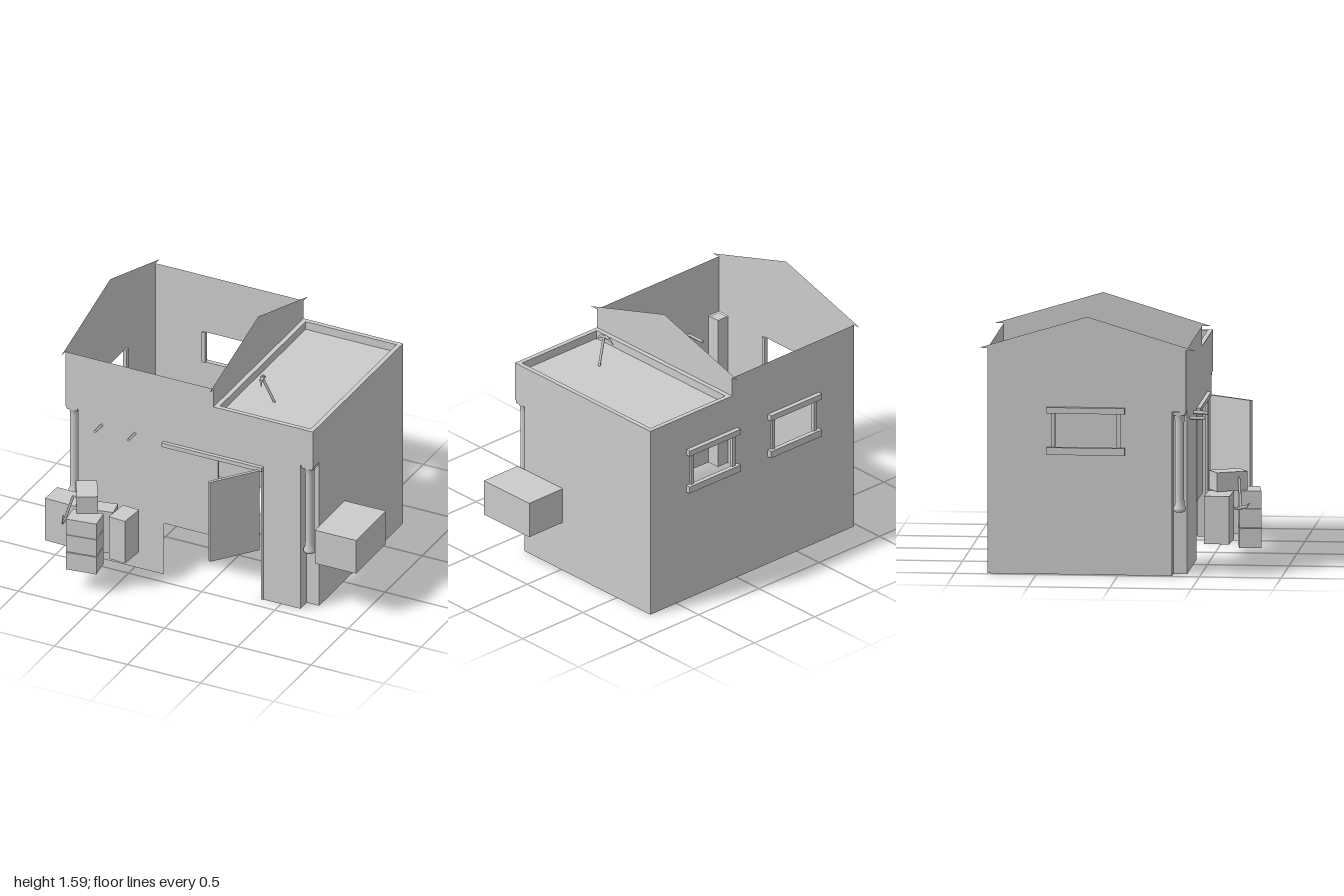
import * as THREE from 'three';

export function createModel() {
  const model = new THREE.Group();
  const mat = new THREE.MeshStandardMaterial({ color: 0xcccccc, side: THREE.DoubleSide });
  const V = (x, y, z) => new THREE.Vector3(x, y, z);

  function add(name, geo, parent = model) {
    const mesh = new THREE.Mesh(geo, mat);
    mesh.name = name;
    parent.add(mesh);
    return mesh;
  }
  // Box given by its limits on each axis
  function box(name, x0, x1, y0, y1, z0, z1, parent = model) {
    const mesh = add(name, new THREE.BoxGeometry(x1 - x0, y1 - y0, z1 - z0), parent);
    mesh.position.set((x0 + x1) / 2, (y0 + y1) / 2, (z0 + z1) / 2);
    return mesh;
  }
  function outline(points, holes = []) {
    const shape = new THREE.Shape(points.map(p => new THREE.Vector2(...p)));
    for (const [a, b, c, d] of holes) {
      shape.holes.push(new THREE.Path([[a, c], [a, d], [b, d], [b, c]].map(p => new THREE.Vector2(...p))));
    }
    return shape;
  }
  // Round stick between two points, optionally tapered
  function stick(name, a, b, r0, r1, parent = model, sides = 6) {
    const mesh = add(name, new THREE.CylinderGeometry(r1, r0, a.distanceTo(b), sides), parent);
    mesh.position.copy(a).add(b).multiplyScalar(0.5);
    mesh.quaternion.setFromUnitVectors(V(0, 1, 0), b.clone().sub(a).normalize());
  }

  const L = -0.975, M = 0.037, R = 0.717, F = 0.415, B = -0.8;
  const notch = 0.085, notchTop = 1.01, eave = 1.39, flatTop = 1.265;
  const winLow = 0.785, winHigh = 0.995;
  const backWindows = [[-0.655, -0.285], [0.02, 0.39]];
  const sideWindow = [-0.41, 0.015];

  // Thin walls; the front corners are cut back for the columns
  add('frontWall', new THREE.ShapeGeometry(outline([
    [L + notch, 0], [-0.3, 0], [-0.3, 0.92], [0.38, 0.92], [0.38, 0], [R - notch, 0],
    [R - notch, notchTop], [R, notchTop], [R, flatTop], [M, flatTop], [M, eave],
    [L, eave], [L, notchTop], [L + notch, notchTop]]))).position.z = F;
  add('backWall', new THREE.ShapeGeometry(outline(
    [[L, 0], [R, 0], [R, flatTop], [M, flatTop], [M, eave], [L, eave]],
    backWindows.map(w => [...w, winLow, winHigh])))).position.z = B;

  // Walls across the depth, drawn as (z, y)
  function crossWall(name, x, points, holes) {
    const geo = new THREE.ShapeGeometry(outline(points, holes));
    geo.rotateY(-Math.PI / 2);
    add(name, geo).position.x = x;
  }
  const gable = [[F, eave], [0.47, eave], [-0.19, 1.59], [-0.855, eave], [B, eave]];
  const foot = [[B, 0], [F - notch, 0], [F - notch, notchTop], [F, notchTop]];
  crossWall('rightGableWall', L, [...foot, ...gable], [[...sideWindow, winLow, winHigh]]);
  crossWall('leftWall', R, [...foot, [F, flatTop], [B, flatTop]]);
  crossWall('middleGable', M, [[B, 1.205], [F, 1.205], ...gable]);

  // Flat roof with a raised rim
  const rim = new THREE.ExtrudeGeometry(outline(
    [[M, -F], [R, -F], [R, -B], [M, -B]], [[M + 0.03, R - 0.03, -F + 0.03, -B - 0.03]]),
    { depth: 0.06, bevelEnabled: false });
  rim.rotateX(-Math.PI / 2);
  add('roofRim', rim).position.y = flatTop - 0.06;
  box('flatRoof', M + 0.005, R - 0.005, 1.2, 1.212, B + 0.005, F - 0.005);

  // Corner niches, each with a column
  const columnProfile = [[0, 0.39], [0.03, 0.39], [0.038, 0.4], [0.038, 0.415], [0.03, 0.43], [0.028, 0.47],
    [0.028, 0.94], [0.031, 0.97], [0.037, 0.99]].map(p => new THREE.Vector2(...p));
  for (const [x0, x1, inner] of [[L, L + notch, L + notch], [R - notch, R, R - notch]]) {
    const niche = new THREE.Group();
    niche.name = 'cornerNiche';
    model.add(niche);
    const back = add('nicheBack', new THREE.PlaneGeometry(notch, notchTop), niche);
    back.position.set((x0 + x1) / 2, notchTop / 2, F - notch);
    const side = add('nicheSide', new THREE.PlaneGeometry(notch, notchTop), niche);
    side.rotation.y = Math.PI / 2;
    side.position.set(inner, notchTop / 2, F - notch / 2);
    const cx = (x0 + x1) / 2, cz = F - notch / 2;
    add('column', new THREE.LatheGeometry(columnProfile, 20), niche).position.set(cx, 0, cz);
    box('columnCapital', cx - 0.038, cx + 0.038, 0.99, 1.008, cz - 0.038, cz + 0.038, niche);
  }

  // Window frames: built along x, then turned into place
  function windowFrame(width, x, z, turn) {
    const frame = new THREE.Group();
    frame.name = 'windowFrame';
    const h = width / 2;
    box('sill', -h - 0.027, h + 0.027, winLow - 0.045, winLow, 0, 0.03, frame);
    box('head', -h - 0.027, h + 0.027, winHigh, winHigh + 0.037, 0, 0.03, frame);
    for (const s of [-1, 1]) {
      const c = s * (h - 0.012);
      box('jamb', c - 0.012, c + 0.012, winLow, winHigh, -0.012, 0.012, frame);
    }
    frame.position.set(x, 0, z);
    frame.rotation.y = turn;
    model.add(frame);
  }
  for (const [a, b] of backWindows) windowFrame(b - a, (a + b) / 2, B, Math.PI);
  windowFrame(sideWindow[1] - sideWindow[0], L, (sideWindow[0] + sideWindow[1]) / 2, -Math.PI / 2);

  // Doorway: lintel, post, closed leaf and open leaf
  box('lintel', -0.305, 0.38, 0.908, 0.935, 0.405, 0.44);
  box('doorPost', 0.365, 0.38, 0, 0.908, 0.4, 0.42);
  box('closedDoor', -0.3, 0.07, 0.36, 0.91, 0.402, 0.418);
  const hinge = new THREE.Group();
  hinge.name = 'openDoor';
  hinge.position.set(0.36, 0, 0.44);
  hinge.rotation.y = Math.atan2(0.265, 0.205);
  box('doorLeaf', -0.335, 0, 0.36, 0.918, -0.01, 0.01, hinge);
  model.add(hinge);

  // Pegs through the front wall
  for (const x of [-0.727, -0.5]) stick('peg', V(x, 0.938, 0.29), V(x, 0.938, 0.505), 0.011, 0.011, model, 4);

  // Crates: centre x, z, width, depth, bottom, top, turn
  const crates = [
    [-0.86, 0.607, 0.235, 0.155, 0.2, 0.495, -0.03],
    [-0.66, 0.775, 0.195, 0.135, 0.145, 0.265, 0.14],
    [-0.66, 0.775, 0.195, 0.135, 0.27, 0.387, 0.14],
    [-0.66, 0.775, 0.195, 0.135, 0.39, 0.498, 0.14],
    [-0.71, 0.648, 0.13, 0.2, 0.498, 0.615, 0.5],
    [-0.467, 0.627, 0.115, 0.167, 0.2, 0.495, -0.08],
    [-0.605, 0.6, 0.125, 0.11, 0.2, 0.49, 0.2],
    [0.858, 0.188, 0.28, 0.405, 0.33, 0.563, 0.008],
  ];
  for (const [x, z, w, d, y0, y1, turn] of crates) {
    box('crate', x - w / 2, x + w / 2, y0, y1, z - d / 2, z + d / 2).rotation.y = turn;
  }

  // Pickaxes: straight handle and a bent, pointed head
  function pickaxe(end, head, tips) {
    const pick = new THREE.Group();
    pick.name = 'pickaxe';
    model.add(pick);
    const beyond = head.clone().sub(end).normalize().multiplyScalar(0.012);
    stick('handle', end, head.clone().add(beyond), 0.008, 0.009, pick);
    for (const tip of tips) {
      const bend = head.clone().lerp(tip, 0.5).add(beyond);
      stick('headArm', head, bend, 0.013, 0.01, pick, 4);
      stick('headPoint', bend, tip, 0.01, 0.002, pick, 4);
    }
  }
  pickaxe(V(0.3, 1.21, 0.11), V(0.232, 1.38, 0.14), [V(0.22, 1.342, 0.068), V(0.25, 1.345, 0.192)]);
  pickaxe(V(-0.767, 0.585, 0.72), V(-0.82, 0.405, 0.737), [V(-0.85, 0.413, 0.69), V(-0.805, 0.43, 0.79)]);

  return model;
}
